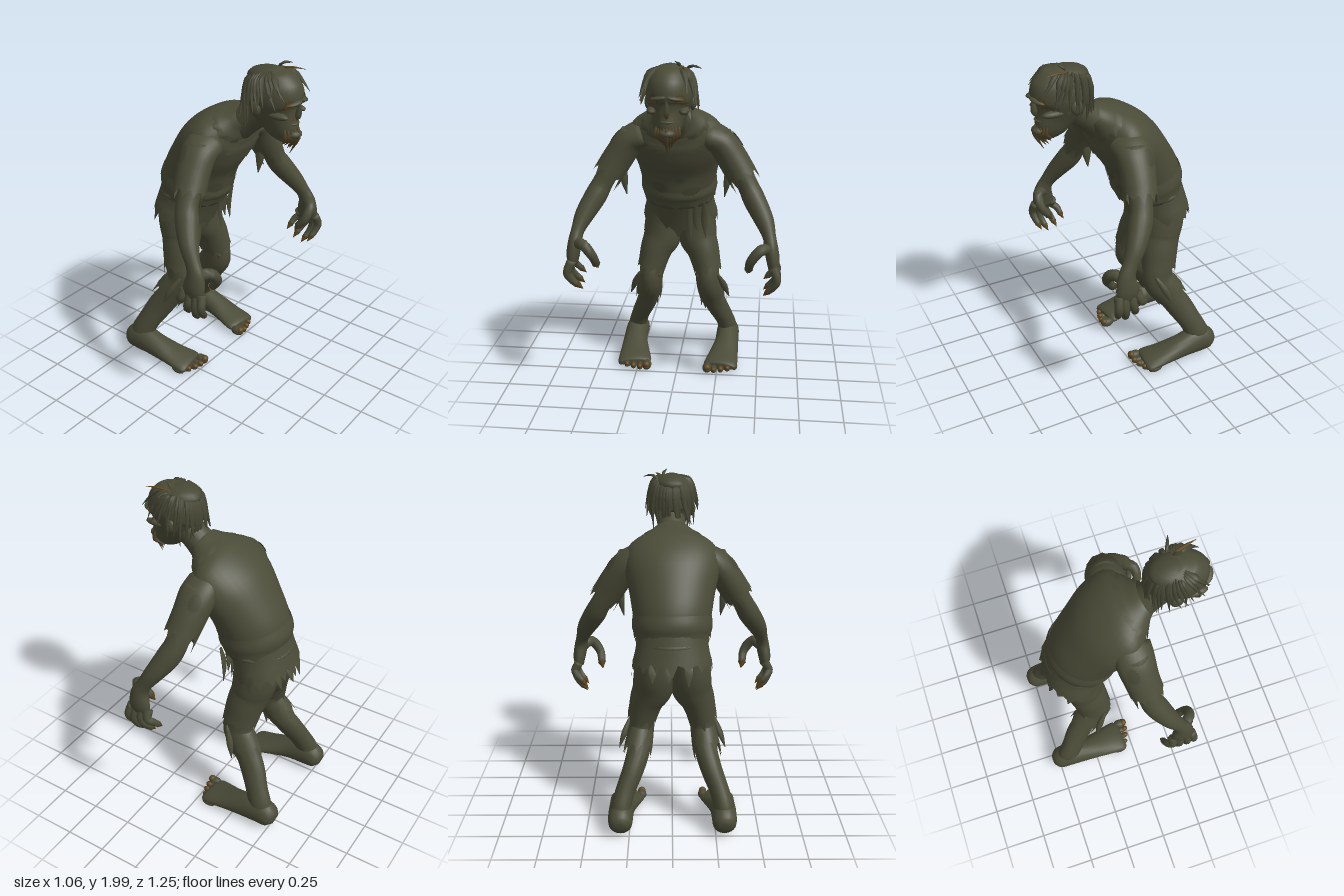
import * as THREE from 'three';

const mat = (name, color, side = THREE.FrontSide) => {
  const m = new THREE.MeshStandardMaterial({ color, side });
  m.name = name;
  return m;
};
const V = (x, y, z) => new THREE.Vector3(x, y, z);

export function createModel() {
  const root = new THREE.Group();
  root.name = 'raggedGhoul';
  const skin = mat('skin', 0x4a4b37);
  const cloth = mat('cloth', 0x4a4b37, THREE.DoubleSide);
  const hairMat = mat('hair', 0x464734);
  const shade = mat('tornShade', 0x434432, THREE.DoubleSide);
  const amber = mat('amber', 0x6b4a1c, THREE.DoubleSide);
  const horn = mat('horn', 0x5e4620);
  const beardMat = mat('beard', 0x4e4126, THREE.DoubleSide);

  let seed = 7;
  const rnd = () => (seed = (seed * 16807) % 2147483647) / 2147483647;
  const add = (name, geo, m, parent = root) => {
    const mesh = new THREE.Mesh(geo, m);
    mesh.name = name;
    parent.add(mesh);
    return mesh;
  };

  // Surface through elliptical sections [x, y, z, depth, width], square to the path
  const surface = (secs) => {
    const path = new THREE.CatmullRomCurve3(secs.map((s) => V(s[0], s[1], s[2])), false, 'catmullrom', 0.5);
    const size = new THREE.CatmullRomCurve3(secs.map((s) => V(s[3], s[4], 0)), false, 'catmullrom', 0.5);
    return (t, th, pad = 0, push = 0) => {
      const T = path.getTangent(t), r = size.getPoint(t);
      const S = Math.abs(T.z) > 0.97 ? V(1, 0, 0) : V(0, 0, 1);
      S.addScaledVector(T, -S.dot(T)).normalize();
      const F = T.clone().cross(S);
      return path.getPoint(t).addScaledVector(F, Math.cos(th) * (r.x + pad))
        .addScaledVector(S, Math.sin(th) * (r.y + pad)).addScaledVector(T, push);
    };
  };
  // Loft; jag(index) lengthens the last ring into a torn hem
  const loft = (secs, { seg = 20, rows = (secs.length - 1) * 4, caps = true, jag = null } = {}) => {
    const f = surface(secs), pos = [], idx = [];
    for (let i = 0; i <= rows; i++) for (let j = 0; j < seg; j++) {
      const th = (j / seg) * Math.PI * 2;
      pos.push(...f(i / rows, th, 0, jag && i === rows ? jag(j) : 0).toArray());
      if (i === rows) continue;
      const a = i * seg + j, b = i * seg + ((j + 1) % seg);
      idx.push(a, a + seg, b, b, a + seg, b + seg);
    }
    if (caps) [0, 1].forEach((e) => {
      const c = pos.length / 3, o = e * rows * seg;
      pos.push(...f(e, 0).add(f(e, Math.PI)).multiplyScalar(0.5).toArray());
      for (let j = 0; j < seg; j++) {
        const a = o + j, b = o + ((j + 1) % seg);
        if (e) idx.push(c, b, a); else idx.push(c, a, b);
      }
    });
    const g = new THREE.BufferGeometry();
    g.setAttribute('position', new THREE.Float32BufferAttribute(pos, 3));
    g.setIndex(idx);
    g.computeVertexNormals();
    return g;
  };
  const rag = (secs, amp, seg = 36) => loft(secs, {
    seg, caps: false, jag: (j) => amp * (j % 3 === 0 ? 0.4 + 0.6 * rnd() : 0.3 * rnd()),
  });
  const ball = (name, p, r, m, parent) => {
    const b = add(name, new THREE.SphereGeometry(1, 16, 12), m, parent);
    b.position.set(...p);
    b.scale.set(...r);
    return b;
  };
  // Thin strip hanging through the given points, narrow at the root and pointed at the tip
  const strip = (name, pts, w, d, m, parent) =>
    add(name, loft(pts.map((p, i) => {
      const k = i ? 1 - 0.93 * (i / (pts.length - 1)) ** 2 : 0.35;
      return [...p, d * k, w * k];
    }), { seg: 6, rows: 6 }), m, parent);
  // Jagged patch laid on a surface
  const patch = (name, f, t0, th0, dt, dth, pad, m) => {
    const g = new THREE.RingGeometry(0.001, 1, 28, 5), p = g.attributes.position;
    for (let i = 0; i < p.count; i++) {
      const k = (i % 29) % 2 ? 0.8 : 1;
      const q = f(t0 + p.getY(i) * dt * k, th0 + p.getX(i) * dth * k, pad);
      p.setXYZ(i, q.x, q.y, q.z);
    }
    g.computeVertexNormals();
    add(name, g, m);
  };

  // Hunched torso in its shirt
  const torso = [[-0.21, 1.1, 0, 0.175, 0.2], [-0.19, 1.22, 0, 0.205, 0.219], [-0.13, 1.36, 0, 0.19, 0.243],
    [-0.05, 1.48, 0, 0.182, 0.272], [0.03, 1.575, 0, 0.146, 0.262], [0.085, 1.625, 0, 0.105, 0.185], [0.13, 1.655, 0, 0.07, 0.105]];
  add('shirt', loft(torso, { seg: 36 }), cloth);
  const torsoAt = surface(torso);
  [[0.25, 0.42, 0.05, 0.24], [0.22, -0.4, 0.045, 0.28], [0.33, -0.1, 0.03, 0.14]].forEach(([t, th, dt, dth]) =>
    patch('shirtTear', torsoAt, t, th, dt, dth, 0.005, shade));
  patch('cowlDrape', torsoAt, 0.74, 0, 0.19, 0.7, 0.018, cloth);
  add('collar', rag([[0.16, 1.672, 0, 0.072, 0.1], [0.125, 1.65, 0, 0.088, 0.135], [0.085, 1.62, 0, 0.118, 0.198]], 0.03), cloth);
  add('shirtHem', rag([[-0.185, 1.25, 0, 0.206, 0.225], [-0.2, 1.19, 0, 0.214, 0.229], [-0.21, 1.14, 0, 0.195, 0.217]], 0.04), cloth);

  // Waist, skirt of the trousers, rope and sash
  add('trouserTop', rag([[-0.21, 1.19, 0, 0.185, 0.2], [-0.25, 1.08, 0, 0.178, 0.207], [-0.28, 0.99, 0, 0.174, 0.23]], 0.085, 48), cloth);
  const rope = add('ropeBelt', new THREE.TorusGeometry(1, 0.085, 8, 40), cloth);
  rope.rotation.x = Math.PI / 2;
  rope.scale.set(0.19, 0.195, 0.2);
  rope.position.set(-0.22, 1.12, 0);
  [[-0.07, 0.85], [-0.11, 0.92], [-0.16, 0.88]].forEach(([z, y]) =>
    strip('sashEnd', [[-0.06, 1.11, z], [-0.085, 1.0, z], [-0.085, y, z - 0.01]], 0.03, 0.01, cloth));
  [-0.11, -0.02, 0.09].forEach((z) => {
    const x = -0.44 + z * z * 2;
    strip('seatTatter', [[x + 0.03, 1.05, z], [x - 0.005, 0.99, z], [x - 0.025, 0.91 + rnd() * 0.03, z]], 0.035, 0.006, cloth);
  });

  // Legs and arms, mirrored
  for (const s of [1, -1]) {
    const side = s > 0 ? 'left' : 'right';
    const m = (secs) => secs.map(([x, y, z, ...r]) => [x, y, z * s, ...r]);
    const leg = new THREE.Group();
    leg.name = side + 'Leg';
    root.add(leg);
    add('legSkin', loft(m([[-0.22, 0.8, 0.135, 0.09, 0.08], [-0.2, 0.65, 0.168, 0.08, 0.066], [-0.195, 0.56, 0.178, 0.09, 0.066],
      [-0.265, 0.45, 0.197, 0.08, 0.066], [-0.33, 0.35, 0.23, 0.08, 0.062], [-0.385, 0.25, 0.272, 0.072, 0.057],
      [-0.425, 0.16, 0.298, 0.075, 0.058], [-0.44, 0.08, 0.3, 0.075, 0.06]])), skin, leg);
    add('trouserLeg', rag(m([[-0.26, 1.08, 0.09, 0.14, 0.1], [-0.26, 0.94, 0.1, 0.135, 0.118], [-0.242, 0.84, 0.111, 0.122, 0.118],
      [-0.222, 0.76, 0.145, 0.114, 0.1], [-0.205, 0.66, 0.172, 0.107, 0.086]]), 0.075, 30), cloth, leg);
    add('lowerTrouserLeg', rag(m([[-0.205, 0.68, 0.17, 0.088, 0.074], [-0.195, 0.57, 0.18, 0.098, 0.074],
      [-0.255, 0.48, 0.197, 0.099, 0.082]]), 0.1, 30), cloth, leg);
    [[-0.15, 0.262, 0.45, 0.05], [-0.13, 0.14, 0.39, 0]].forEach(([x, z, y, out]) =>
      strip('trouserTatter', [[x, 0.62, (z - 0.02) * s], [x - 0.05, 0.53, (z + out * 0.4) * s], [x - 0.08, y, (z + out) * s]],
        0.026, 0.03, cloth, leg));

    // Bare foot with five toes
    add('foot', loft(m([[-0.535, 0.085, 0.3, 0.03, 0.035], [-0.5, 0.095, 0.3, 0.072, 0.067], [-0.42, 0.11, 0.3, 0.09, 0.073],
      [-0.3, 0.092, 0.298, 0.07, 0.076], [-0.18, 0.068, 0.285, 0.048, 0.092], [-0.08, 0.05, 0.272, 0.034, 0.104],
      [-0.05, 0.045, 0.268, 0.022, 0.088]])), skin, leg);
    for (let i = 0; i < 5; i++) {
      const z = (0.19 + i * 0.042) * s, x = -0.035 - i * i * 0.0035, r = i ? 0.02 : 0.029;
      ball('toe', [x, 0.014 + r, z], [0.045, r, r], skin, leg);
      ball('toenail', [x + 0.025, 0.02 + r * 1.2, z], [0.021, r * 0.75, r * 0.8], horn, leg);
    }

    // Arm, torn sleeve and clawed hand
    const arm = new THREE.Group();
    arm.name = side + 'Arm';
    root.add(arm);
    add('armSkin', loft(m([[0.02, 1.54, 0.25, 0.08, 0.07], [0.04, 1.4, 0.34, 0.07, 0.062], [0.06, 1.26, 0.418, 0.066, 0.06],
      [0.09, 1.18, 0.46, 0.07, 0.064], [0.15, 1.08, 0.518, 0.056, 0.055], [0.2, 1.0, 0.55, 0.045, 0.038],
      [0.225, 0.94, 0.562, 0.055, 0.04], [0.225, 0.87, 0.575, 0.068, 0.038], [0.22, 0.815, 0.578, 0.068, 0.028]])), skin, arm);
    const sleeve = m([[0.03, 1.56, 0.08, 0.07, 0.05], [0.025, 1.545, 0.18, 0.105, 0.072], [0.02, 1.5, 0.26, 0.11, 0.084],
      [0.03, 1.41, 0.325, 0.102, 0.088], [0.045, 1.33, 0.375, 0.097, 0.088]]);
    add('sleeve', rag(sleeve, 0.1, 30), cloth, arm);
    patch('sleeveTear', surface(sleeve), 0.6, s * 1.2, 0.1, 0.35, 0.005, shade);
    strip('sleeveTatter', [[0.04, 1.38, 0.3 * s], [0.04, 1.28, 0.3 * s], [0.04, 1.18, 0.285 * s]], 0.03, 0.04, cloth, arm);
    const digit = (pts, r) => {
      const p = m(pts), n = p.length - 1;
      add('finger', loft(p.map((q, i) => [...q, r * (1 - 0.12 * i), r * (1 - 0.12 * i)]), { seg: 10 }), skin, arm);
      const end = V(...p[n]), dir = end.clone().sub(V(...p[n - 1])).normalize();
      const claw = add('claw', new THREE.ConeGeometry(r * 0.72, 0.045, 8), horn, arm);
      claw.position.copy(end).addScaledVector(dir, 0.018);
      claw.quaternion.setFromUnitVectors(V(0, 1, 0), dir);
    };
    [[0.165, 0.13, 0.06], [0.205, 0.18, 0.015], [0.245, 0.24, 0], [0.278, 0.285, 0.02]].forEach(([x0, x1, up]) =>
      digit([[x0, 0.84, 0.575], [(x0 + x1) / 2 + 0.01, 0.765 + up * 0.5, 0.6], [x1, 0.71 + up, 0.582],
        [x1 - 0.012, 0.675 + up, 0.55]], 0.028));
    digit([[0.225, 0.93, 0.56], [0.285, 0.945, 0.505], [0.29, 0.88, 0.452], [0.245, 0.815, 0.438]], 0.036);
  }

  // Neck and gaunt head
  add('neck', loft([[0.08, 1.58, 0, 0.09, 0.11], [0.17, 1.66, 0, 0.084, 0.088], [0.24, 1.715, 0, 0.085, 0.078],
    [0.31, 1.79, 0, 0.09, 0.082]]), skin);
  const head = [[0.44, 1.595, 0, 0.04, 0.035], [0.41, 1.64, 0, 0.085, 0.064], [0.37, 1.7, 0, 0.115, 0.086], [0.342, 1.76, 0, 0.145, 0.112],
    [0.332, 1.82, 0, 0.172, 0.127], [0.315, 1.88, 0, 0.162, 0.122], [0.3, 1.94, 0, 0.118, 0.094], [0.295, 1.972, 0, 0.05, 0.045]];
  add('head', loft(head, { seg: 40 }), skin);
  const headAt = surface(head);
  patch('mouth', headAt, 0.225, 0, 0.03, 0.7, 0.005, beardMat);
  for (const s of [1, -1]) {
    patch('eyeSocket', headAt, 0.5, 0.6 * s, 0.075, 0.27, 0.004, beardMat);
    patch('eye', headAt, 0.5, 0.6 * s, 0.055, 0.2, 0.007, amber);
    const brow = ball('brow', [0.482, 1.824, 0.045 * s], [0.026, 0.013, 0.05], skin);
    brow.rotation.set(0.2 * s, -0.5 * s, 0);
    ball('cheekbone', [0.405, 1.75, 0.085 * s], [0.07, 0.02, 0.028], skin);
    ball('ear', [0.29, 1.775, 0.12 * s], [0.035, 0.042, 0.02], skin);
  }
  strip('nose', [[0.472, 1.72, 0], [0.485, 1.755, 0], [0.495, 1.835, 0]], 0.022, 0.026, skin);
  ball('upperLip', [0.452, 1.697, 0], [0.034, 0.011, 0.042], skin);
  ball('chin', [0.463, 1.637, 0], [0.042, 0.026, 0.045], skin);

  // Beard locks
  for (let i = 0; i < 9; i++) {
    const z = (i - 4) * 0.015, x = 0.484 - Math.abs(z) * 0.75;
    strip('beardLock', [[x, 1.67, z], [x + 0.006, 1.62, z], [x - 0.045, 1.515 + Math.abs(z) * 1.1 + rnd() * 0.02, z * 0.6]],
      0.018, 0.016, beardMat);
  }

  // Lank hair falling from the crown, with a few stray tufts
  ball('hairCrown', [0.298, 1.922, 0], [0.13, 0.058, 0.1], hairMat);
  for (let i = 0; i < 34; i++) {
    const th = 0.85 + (i / 33) * (Math.PI * 2 - 1.7) + (rnd() - 0.5) * 0.15;
    const back = 0.5 - 0.5 * Math.cos(th), low = 0.74 - back * 0.3 - rnd() * 0.14;
    const tip = headAt(low, th + (rnd() - 0.5) * 0.3, 0.012 + 0.03 * rnd() + 0.03 * back ** 4);
    tip.y -= 0.03;
    strip('hairLock', [headAt(0.95 - rnd() * 0.06, th, 0), headAt(0.82, th, 0.006), headAt((0.82 + low) / 2, th, 0.012), tip]
      .map((p) => p.toArray()), 0.022, 0.014, hairMat);
  }
  strip('tuft', [[0.3, 1.955, -0.06], [0.38, 1.968, -0.08], [0.46, 1.965, -0.1]], 0.012, 0.008, horn);
  strip('tuft', [[0.31, 1.95, -0.04], [0.33, 1.98, -0.05], [0.36, 2.0, -0.03]], 0.014, 0.01, hairMat);
  strip('tuft', [[0.29, 1.95, -0.08], [0.31, 1.97, -0.12], [0.33, 1.96, -0.17]], 0.014, 0.01, hairMat);
  return root;
}
